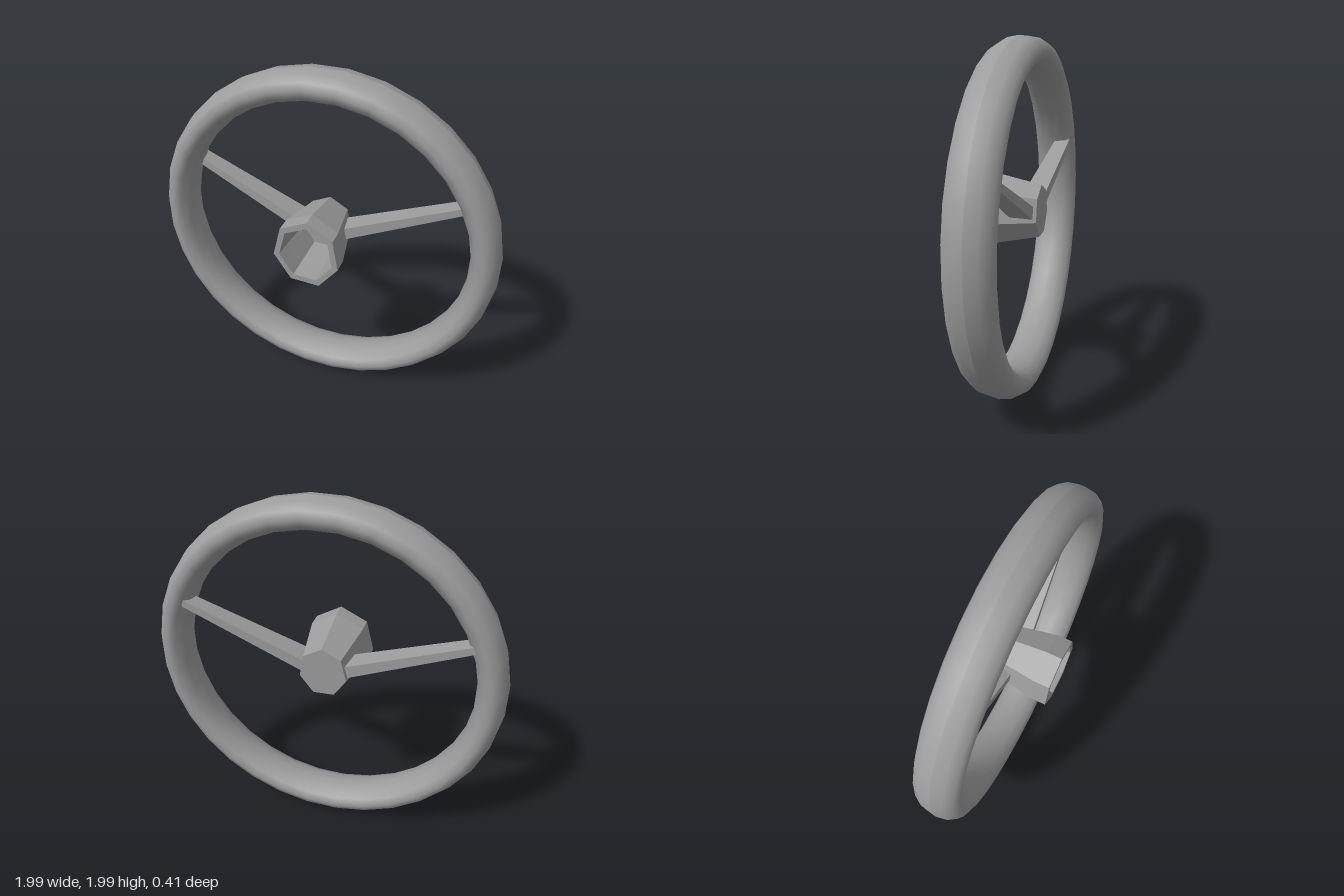
import * as THREE from 'three';

const smooth = new THREE.MeshStandardMaterial({ color: 0x9c9c9c });
const faceted = new THREE.MeshStandardMaterial({ color: 0x9c9c9c, flatShading: true });

function part(name, geometry, material) {
  const mesh = new THREE.Mesh(geometry, material);
  mesh.name = name;
  return mesh;
}

// Tapered bar from the hub to the rim; side is +1 (left) or -1 (right)
function makeSpoke(side) {
  const inner = { x: 0.115, y: 1.054, half: 0.037, back: -0.16, front: -0.03 };
  const outer = { x: 0.81, y: 1.343, half: 0.021, back: -0.18, front: -0.09 };
  const geometry = new THREE.BoxGeometry(1, 1, 1);
  const p = geometry.attributes.position;
  for (let i = 0; i < p.count; i++) {
    const end = p.getX(i) * side > 0 ? outer : inner;
    p.setXYZ(
      i,
      side * end.x,
      end.y + Math.sign(p.getY(i)) * end.half,
      p.getZ(i) > 0 ? end.front : end.back
    );
  }
  geometry.computeVertexNormals();
  const spoke = part(side > 0 ? 'leftSpoke' : 'rightSpoke', geometry, faceted);
  spoke.position.x = -0.01;
  return spoke;
}

export function createModel() {
  const model = new THREE.Group();
  model.name = 'steeringWheel';

  // Rim: ring with an oval section, deeper than it is wide
  const section = [];
  for (let i = 0; i <= 12; i++) {
    const a = (i / 12) * Math.PI * 2;
    section.push(new THREE.Vector2(0.918 + 0.083 * Math.cos(a), 0.13 * Math.sin(a)));
  }
  const rim = part('rim', new THREE.LatheGeometry(section, 32, Math.PI / 32), smooth);
  rim.rotation.x = Math.PI / 2;
  rim.position.set(0, 1, -0.075);
  model.add(rim);

  // Hub: seven-sided cup, tapered to the back and hollow at the front
  const cup = [
    [0, -0.18], [0.15, -0.18], [0.212, 0.11], [0.212, 0.2],
    [0.174, 0.2], [0.168, 0.1], [0.148, -0.1], [0, -0.1],
  ].map(([r, z]) => new THREE.Vector2(r, z));
  const hub = part('hub', new THREE.LatheGeometry(cup, 7, Math.PI - 0.04), faceted);
  hub.rotation.x = Math.PI / 2;
  hub.scale.x = 0.91;
  hub.position.set(-0.013, 1.044, 0);
  model.add(hub);

  for (const side of [1, -1]) model.add(makeSpoke(side));
  return model;
}
